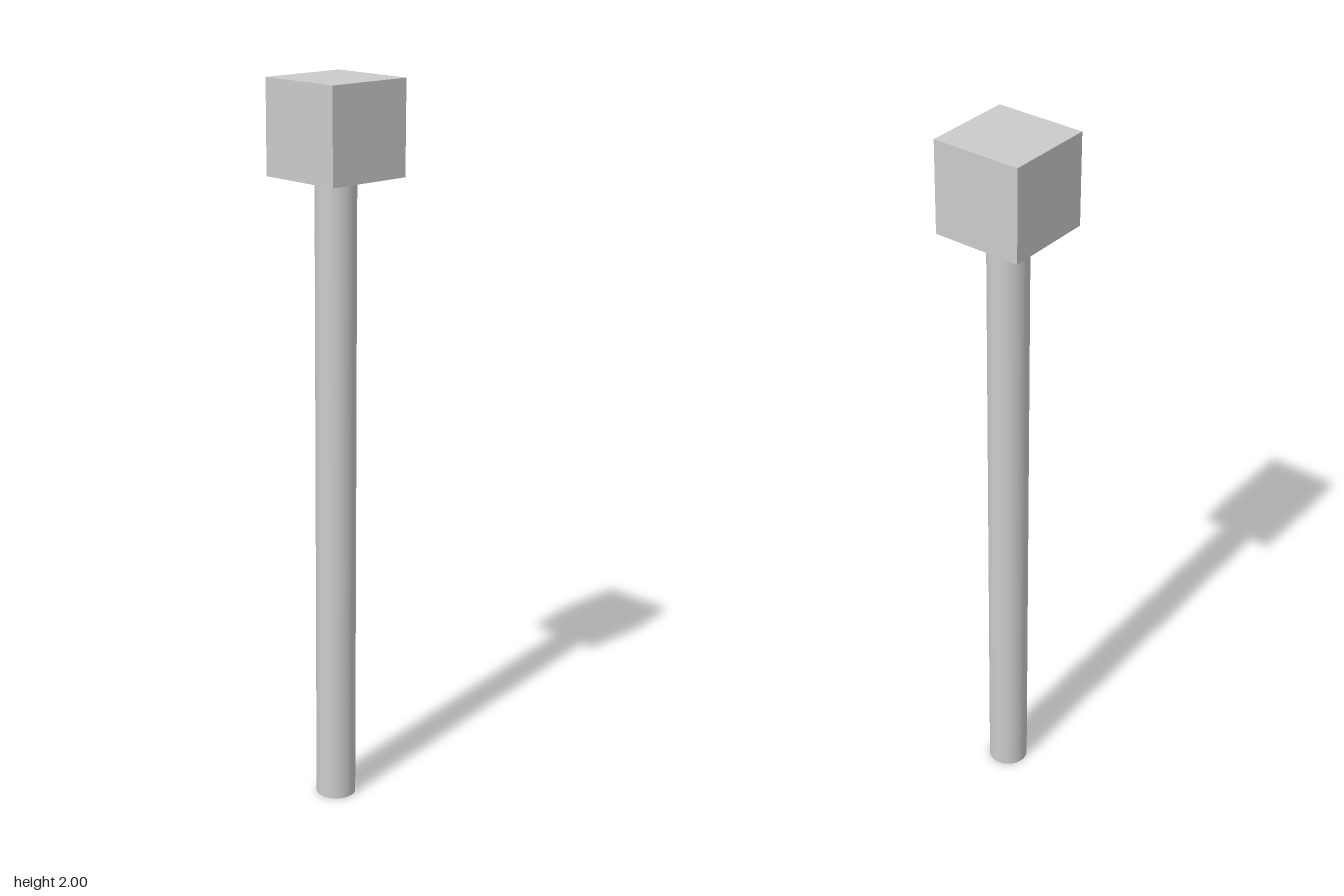
import * as THREE from 'three';

export function createModel() {
  const group = new THREE.Group();
  const material = new THREE.MeshStandardMaterial({ color: 0xcccccc });
  const headSize = 0.252;
  const shaftHeight = 2 - headSize;

  function addPart(name, geometry, y) {
    const mesh = new THREE.Mesh(geometry, material);
    mesh.name = name;
    mesh.position.y = y;
    group.add(mesh);
  }

  // Round shaft standing on the ground
  addPart('shaft', new THREE.CylinderGeometry(0.055, 0.055, shaftHeight, 32), shaftHeight / 2);

  // Cube head on top of the shaft
  addPart('head', new THREE.BoxGeometry(headSize, headSize, headSize), 2 - headSize / 2);

  return group;
}
